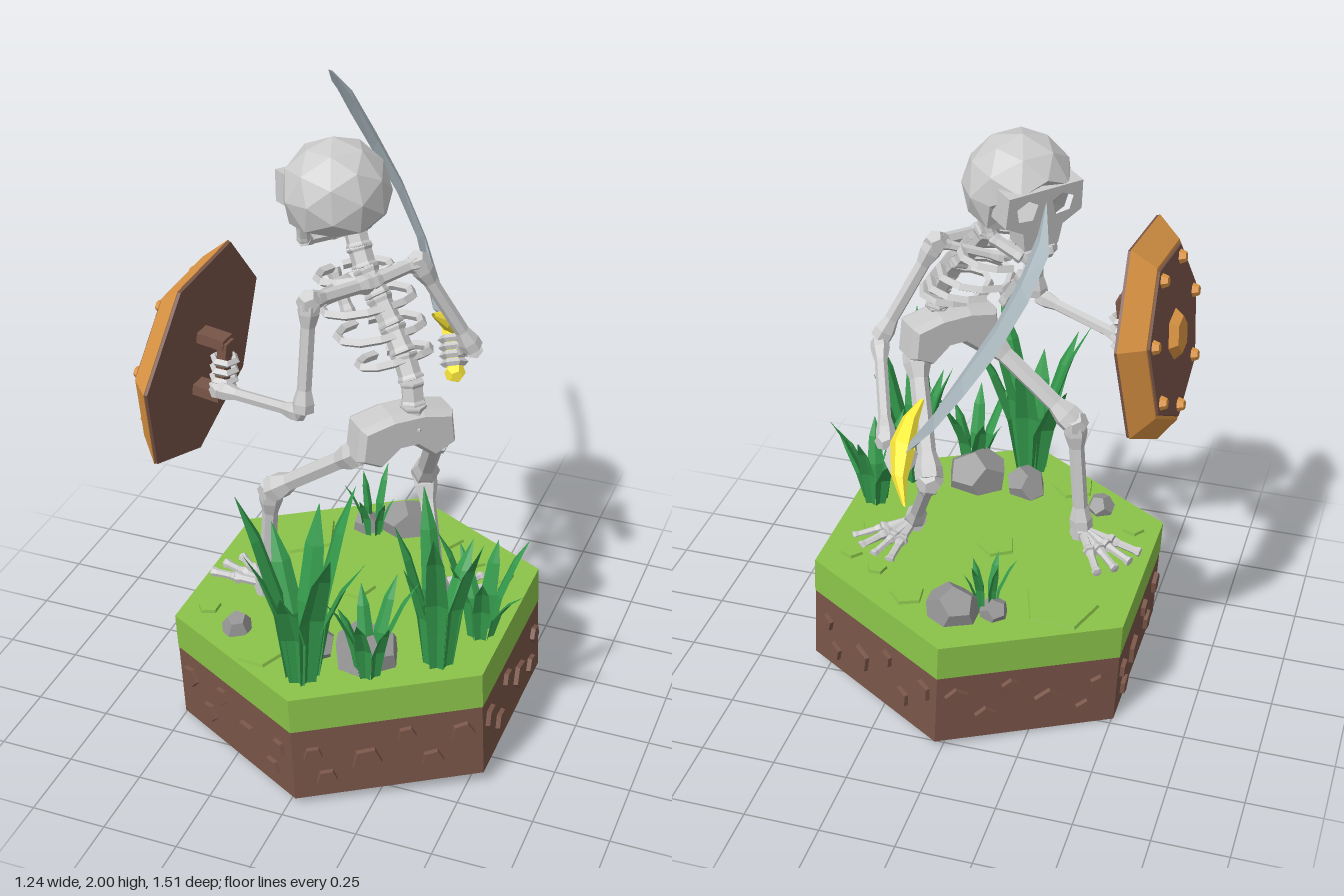
import * as THREE from 'three';

const mat = (color, side = THREE.FrontSide) =>
  new THREE.MeshStandardMaterial({ color, flatShading: true, side });
const M = {
  bone: mat(0xcccccc), rock: mat(0x949494), turf: mat(0x8bc34a), soil: mat(0x795548),
  grass: mat(0x349a4c, THREE.DoubleSide), steel: mat(0xb0bec5, THREE.DoubleSide),
  gold: mat(0xffeb3b), rim: mat(0xdc9544), wood: mat(0x795548),
};
const V = (x, y, z) => new THREE.Vector3(x, y, z);
const UP = V(0, 1, 0);

function add(parent, name, geo, material, x = 0, y = 0, z = 0) {
  const m = new THREE.Mesh(geo, material);
  m.name = name;
  m.position.set(x, y, z);
  parent.add(m);
  return m;
}
function sub(parent, name) {
  const g = new THREE.Group();
  g.name = name;
  parent.add(g);
  return g;
}
// Surface through rows of points
function loft(rows, closed) {
  const n = rows[0].length, pos = [], idx = [];
  rows.forEach(r => r.forEach(p => pos.push(p.x, p.y, p.z)));
  for (let i = 0; i < rows.length - 1; i++)
    for (let j = 0; j < (closed ? n : n - 1); j++) {
      const a = i * n + j, b = i * n + (j + 1) % n;
      idx.push(a, b, a + n, b, b + n, a + n);
    }
  const g = new THREE.BufferGeometry();
  g.setAttribute('position', new THREE.Float32BufferAttribute(pos, 3));
  g.setIndex(idx);
  g.computeVertexNormals();
  return g;
}
// Faceted bone with flared ends between two points
function bone(parent, name, a, b, r = 0.024, flare = 1.5, material = M.bone) {
  const d = b.clone().sub(a), L = d.length();
  const prof = [[0, 0], [r * flare, 0.02], [r * flare, 0.1], [r, 0.22], [r, 0.78], [r * flare, 0.9], [r * flare, 0.98], [0, 1]];
  const m = add(parent, name, new THREE.LatheGeometry(prof.map(p => new THREE.Vector2(p[0], p[1] * L)), 6), material);
  m.position.copy(a);
  m.quaternion.setFromUnitVectors(UP, d.normalize());
  return m;
}
// Finger rings gripping a bar from a to b
function grip(parent, a, b) {
  for (let i = 0; i < 4; i++) {
    const m = add(parent, 'finger', new THREE.TorusGeometry(0.036, 0.013, 4, 6), M.bone);
    m.position.lerpVectors(a, b, 0.2 + i * 0.2);
    m.quaternion.setFromUnitVectors(V(0, 0, 1), b.clone().sub(a).normalize());
  }
}

function buildBase(root) {
  const base = sub(root, 'base');
  base.position.set(0.022, 0.025, 0.08);
  base.rotation.z = 0.045;
  add(base, 'soil', new THREE.CylinderGeometry(0.61, 0.61, 0.265, 6), M.soil, 0, 0.1325);
  add(base, 'turf', new THREE.CylinderGeometry(0.612, 0.612, 0.125, 6), M.turf, 0, 0.3275);
  // Pentagonal stones set in the six sides
  const spots = [[-0.24, 0.17, 0.034], [-0.2, 0.07, 0.038], [-0.07, 0.12, 0.054], [0.06, 0.2, 0.034], [0.14, 0.09, 0.04], [0.24, 0.18, 0.042]];
  for (let k = 0; k < 6; k++) {
    const side = sub(base, 'sideStones');
    side.rotation.y = Math.PI / 6 + k * Math.PI / 3;
    spots.forEach(([u, v, r], i) => {
      const s = add(side, 'sideStone', new THREE.CylinderGeometry(r * 0.9, r, 0.026, 5), M.soil, k % 2 ? -u : u, v, 0.53);
      s.rotation.set(Math.PI / 2, i * 1.3 + k, 0);
    });
  }
  // Raised patches of turf
  [[-0.31, -0.19, 0.13], [0.18, -0.3, 0.06], [0.43, -0.14, 0.04], [0.32, -0.2, 0.035], [-0.18, 0.49, 0.08],
    [-0.44, 0.31, 0.04], [0.4, 0.02, 0.05], [-0.02, 0.06, 0.07]].forEach(([x, z, r], i) => {
    add(base, 'turfPatch', new THREE.CylinderGeometry(r * 0.95, r, 0.014, 5), M.turf, x, 0.394, z - 0.08).rotation.y = i * 1.7;
  });
}

function buildPlants(root) {
  const top = x => 0.412 + 0.045 * x;
  [[0.015, -0.34, 0.095], [-0.11, -0.3, 0.055], [-0.02, 0.42, 0.08], [0.16, 0.41, 0.115], [-0.3, 0.39, 0.055]].forEach(([x, z, r], i) => {
    const m = add(root, 'rock', new THREE.DodecahedronGeometry(r), M.rock, x, top(x) + r * 0.2, z);
    m.rotation.set(i, i * 2, 0.4);
    m.scale.set(1, 0.95, 0.9);
  });
  // Clumps: x, z, height, blades, lean, half width
  [[0, 0.56, 0.67, 8, 0.19, 0.042], [0.19, 0.48, 0.36, 7, 0.12, 0.026], [0.38, 0.36, 0.6, 7, 0.15, 0.036],
    [0.46, 0.18, 0.38, 7, 0.13, 0.028], [-0.08, -0.28, 0.24, 6, 0.07, 0.016]].forEach(([x, z, h, n, lean, w], c) => {
    const clump = sub(root, 'grassClump');
    clump.position.set(x, top(x) - 0.01, z);
    for (let i = 0; i < n; i++) {
      const a = i / n * Math.PI * 2 + c, d = V(Math.sin(a), 0, Math.cos(a)), s = V(d.z, 0, -d.x);
      const hh = h * (0.62 + 0.38 * ((i * 5 + c) % n) / (n - 1)), out = lean * (0.6 + 0.4 * ((i * 3) % 4) / 3);
      const rows = [[0, 0.6], [0.45, 1], [0.78, 0.75], [1, 0.02]].map(([t, k]) => {
        const p = d.clone().multiplyScalar(0.02 + w * 0.6 + out * t * t).addScaledVector(UP, hh * t);
        return [p.clone().addScaledVector(s, -w * k), p.clone().addScaledVector(d, -w * k * 0.4), p.clone().addScaledVector(s, w * k)];
      });
      add(clump, 'grassBlade', loft(rows, false), M.grass);
    }
  });
}

function buildSkull(root) {
  const skull = sub(root, 'skull');
  skull.position.set(-0.1, 1.81, -0.01);
  skull.rotation.set(0.12, Math.atan2(-0.75, -0.65), 0, 'YXZ');
  const g = new THREE.IcosahedronGeometry(0.172, 1), p = g.attributes.position;
  for (let i = 0; i < p.count; i++) { // flatten behind the face and under the skull
    if (p.getY(i) < 0.05 && p.getZ(i) > 0.07) p.setZ(i, 0.07);
    if (p.getY(i) < -0.11) p.setY(i, -0.11);
  }
  add(skull, 'cranium', g, M.bone);
  const face = new THREE.Shape([[-0.13, 0.06], [0.13, 0.06], [0.135, -0.04], [0.07, -0.075], [0.06, -0.14], [-0.06, -0.14], [-0.07, -0.075], [-0.135, -0.04]].map(q => new THREE.Vector2(...q)));
  const hole = pts => face.holes.push(new THREE.Path(pts.map(q => new THREE.Vector2(...q))));
  for (const s of [-1, 1]) hole([[0.025 * s, 0.015], [0.06 * s, 0.035], [0.1 * s, 0.015], [0.09 * s, -0.03], [0.04 * s, -0.035]]);
  hole([[0, -0.035], [0.018, -0.075], [-0.018, -0.075]]);
  add(skull, 'face', new THREE.ExtrudeGeometry(face, { depth: 0.08, bevelEnabled: false }), M.bone, 0, 0, 0.065);
  // Jaw: a bent band from ear to ear
  const jaw = [[0.12, -0.06, 0], [0.105, -0.14, 0.03], [0.05, -0.175, 0.125]];
  const path = [...jaw, ...jaw.slice().reverse().map(q => [-q[0], q[1], q[2]])].map(q => V(...q));
  for (let i = 0; i < path.length - 1; i++) bone(skull, 'jaw', path[i], path[i + 1], 0.02, 1.1);
  return skull;
}

function buildSkeleton(root) {
  const sk = sub(root, 'skeleton');
  buildSkull(sk);
  // Spine
  const spine = new THREE.CatmullRomCurve3([V(-0.03, 1.72, 0.02), V(0.02, 1.61, 0.06), V(0.13, 1.46, 0.12), V(0.215, 1.32, 0.18), V(0.23, 1.17, 0.2)]);
  for (let i = 0; i < 8; i++) bone(sk, 'vertebra', spine.getPoint(i / 8), spine.getPoint((i + 1) / 8), 0.036, 1.15);
  // Ribs
  const fwd = V(-0.81, 0, -0.58), lat = V(-0.58, 0, 0.81);
  [[0.33, 0.125, 0.2], [0.46, 0.155, 0.23], [0.58, 0.145, 0.21], [0.69, 0.125, 0.15]].forEach(([t, w, d]) => {
    const c = spine.getPoint(t);
    for (const s of [-1, 1]) {
      const pts = [0, 0.25, 0.5, 0.75, 0.95].map(u => c.clone()
        .addScaledVector(lat, s * w * Math.sin(u * Math.PI)).addScaledVector(fwd, d * (1 - Math.cos(u * Math.PI)) / 2)
        .addScaledVector(UP, 0.03 - 0.05 * u));
      add(sk, 'rib', new THREE.TubeGeometry(new THREE.CatmullRomCurve3(pts), 6, 0.015, 4), M.bone);
    }
  });
  bone(sk, 'sternum', V(-0.13, 1.53, -0.05), V(-0.06, 1.4, -0.01), 0.02, 1.2);
  // Shoulders and arms
  const neck = V(0.05, 1.58, 0.1);
  const arms = [[V(-0.06, 1.6, 0.31), V(-0.07, 1.24, 0.35), V(-0.4, 1.19, 0.23)], [V(0.15, 1.6, -0.05), V(0.31, 1.28, -0.14), V(0.19, 1.11, -0.44)]];
  arms.forEach(([sh, el, wr]) => {
    bone(sk, 'collarbone', neck, sh, 0.022, 1.4);
    bone(sk, 'collarbone', V(-0.05, 1.54, 0.02), sh, 0.015, 1.4);
    add(sk, 'shoulder', new THREE.DodecahedronGeometry(0.04), M.bone, sh.x, sh.y, sh.z);
    bone(sk, 'upperArm', sh, el, 0.023);
    bone(sk, 'forearm', el, wr, 0.02);
    add(sk, 'palm', new THREE.DodecahedronGeometry(0.036), M.bone, wr.x, wr.y, wr.z);
  });
  grip(sk, V(0.115, 1.13, -0.5), V(0.155, 1.02, -0.43));
  grip(sk, V(-0.405, 1.15, 0.2), V(-0.39, 1.32, 0.2));
  bone(sk, 'thumb', arms[0][2], V(-0.43, 1.25, 0.18), 0.013);
  // Pelvis
  const shape = new THREE.Shape([[-0.14, 0.05], [-0.05, 0.07], [0.05, 0.07], [0.14, 0.05], [0.15, -0.04], [0.09, -0.07], [0.03, -0.02], [-0.03, -0.02], [-0.09, -0.07], [-0.15, -0.04]].map(q => new THREE.Vector2(...q)));
  const pg = new THREE.ExtrudeGeometry(shape, { depth: 0.08, bevelSize: 0.015, bevelThickness: 0.025, bevelSegments: 1 });
  pg.translate(0, 0, -0.04);
  add(sk, 'pelvis', pg, M.bone, 0.19, 1.15, 0.2).rotation.y = Math.PI / 4;
  // Legs and feet: hip, knee, ankle, toe direction
  [[V(0.09, 1.1, 0.28), V(-0.24, 0.85, 0.22), V(-0.28, 0.45, 0.19), -2.2], [V(0.28, 1.1, 0.12), V(0.15, 0.78, -0.15), V(0.28, 0.46, 0.07), 2.6]].forEach(([hip, knee, an, yaw]) => {
    bone(sk, 'thigh', hip, knee, 0.031);
    add(sk, 'knee', new THREE.DodecahedronGeometry(0.046), M.bone, knee.x, knee.y, knee.z);
    bone(sk, 'shin', knee, an, 0.026);
    add(sk, 'heel', new THREE.DodecahedronGeometry(0.042), M.bone, an.x, an.y - 0.01, an.z);
    for (let i = 0; i < 4; i++) {
      const a = yaw + (i - 1.5) * 0.3, at = (d, y) => V(an.x + Math.sin(a) * d, y, an.z + Math.cos(a) * d);
      bone(sk, 'footBone', an, at(0.12, an.y - 0.015), 0.015);
      bone(sk, 'toe', at(0.12, an.y - 0.015), at(0.22, an.y - 0.03), 0.013, 1.3);
    }
  });
}

function buildSword(root) {
  const sword = sub(root, 'sword');
  const outer = [[0.1, 1.14, -0.55], [-0.05, 1.35, -0.71], [-0.16, 1.52, -0.77], [-0.26, 1.68, -0.78], [-0.335, 1.83, -0.75], [-0.365, 1.93, -0.65], [-0.312, 2, -0.485]];
  const inner = [[0.05, 1.2, -0.5], [-0.05, 1.4, -0.61], [-0.13, 1.54, -0.635], [-0.21, 1.68, -0.62], [-0.27, 1.82, -0.575], [-0.3, 1.92, -0.53], [-0.31, 2, -0.48]];
  const n = V(0.85, 0.45, -0.05).normalize();
  const rows = outer.map((o, i) => {
    const a = V(...o), b = V(...inner[i]), m = a.clone().lerp(b, 0.5), t = i < 6 ? 0.012 : 0;
    return [a, m.clone().addScaledVector(n, t), b, m.clone().addScaledVector(n, -t)];
  });
  add(sword, 'blade', loft(rows, true), M.steel);
  bone(sword, 'handle', V(0.09, 1.17, -0.53), V(0.16, 1, -0.42), 0.024, 1.2, M.gold);
  add(sword, 'pommel', new THREE.DodecahedronGeometry(0.036), M.gold, 0.157, 1.015, -0.425);
  // Crossguard swelling in the middle
  const ends = [[0.06, 1.04, -0.66, 0.008], [0.095, 1.09, -0.6, 0.032], [0.11, 1.15, -0.52, 0.05], [0.11, 1.2, -0.44, 0.032], [0.09, 1.24, -0.385, 0.008]];
  const u = V(-0.5, 0.55, -0.5).normalize(), v = V(0.85, 0.45, 0);
  const guard = loft(ends.map(([x, y, z, r]) => [0, 1, 2, 3, 4, 5].map(k =>
    V(x, y, z).addScaledVector(u, r * Math.cos(k * Math.PI / 3)).addScaledVector(v, r * 0.8 * Math.sin(k * Math.PI / 3)))), true);
  add(sword, 'crossguard', guard, mat(0xffeb3b, THREE.DoubleSide));
}

function buildShield(root) {
  const sh = sub(root, 'shield');
  const y = V(-1, 0.123, -0.05).normalize(), x = y.clone().cross(V(0, 0, 1)).normalize();
  sh.quaternion.setFromRotationMatrix(new THREE.Matrix4().makeBasis(x, y, x.clone().cross(y)));
  sh.position.set(-0.49, 1.265, 0.17);
  const disc = (name, rt, rb, h, m, py, n = 7) => add(sh, name, new THREE.CylinderGeometry(rt, rb, h, n, 1, false, 0.13), m, 0, py);
  disc('shieldBack', 0.372, 0.372, 0.01, M.wood, -0.004);
  disc('shieldRim', 0.3, 0.376, 0.07, M.rim, 0.036);
  disc('shieldFace', 0.285, 0.29, 0.01, M.wood, 0.073);
  disc('boss', 0.06, 0.085, 0.03, M.rim, 0.09, 6);
  for (let k = 0; k < 7; k++) {
    const a = 0.13 + k * Math.PI * 2 / 7;
    add(sh, 'stud', new THREE.CylinderGeometry(0.016, 0.026, 0.026, 6), M.rim, 0.245 * Math.sin(a), 0.086, 0.245 * Math.cos(a));
  }
  // Hand grip on the back
  add(sh, 'gripBar', new THREE.BoxGeometry(0.2, 0.03, 0.05), M.wood, 0, -0.095, 0.03);
  for (const s of [-1, 1]) add(sh, 'gripPost', new THREE.BoxGeometry(0.035, 0.1, 0.06), M.wood, s * 0.095, -0.05, 0.03);
}

export function createModel() {
  const root = new THREE.Group();
  root.name = 'skeletonWarrior';
  [buildBase, buildPlants, buildSkeleton, buildSword, buildShield].forEach(f => f(root));
  return root;
}
